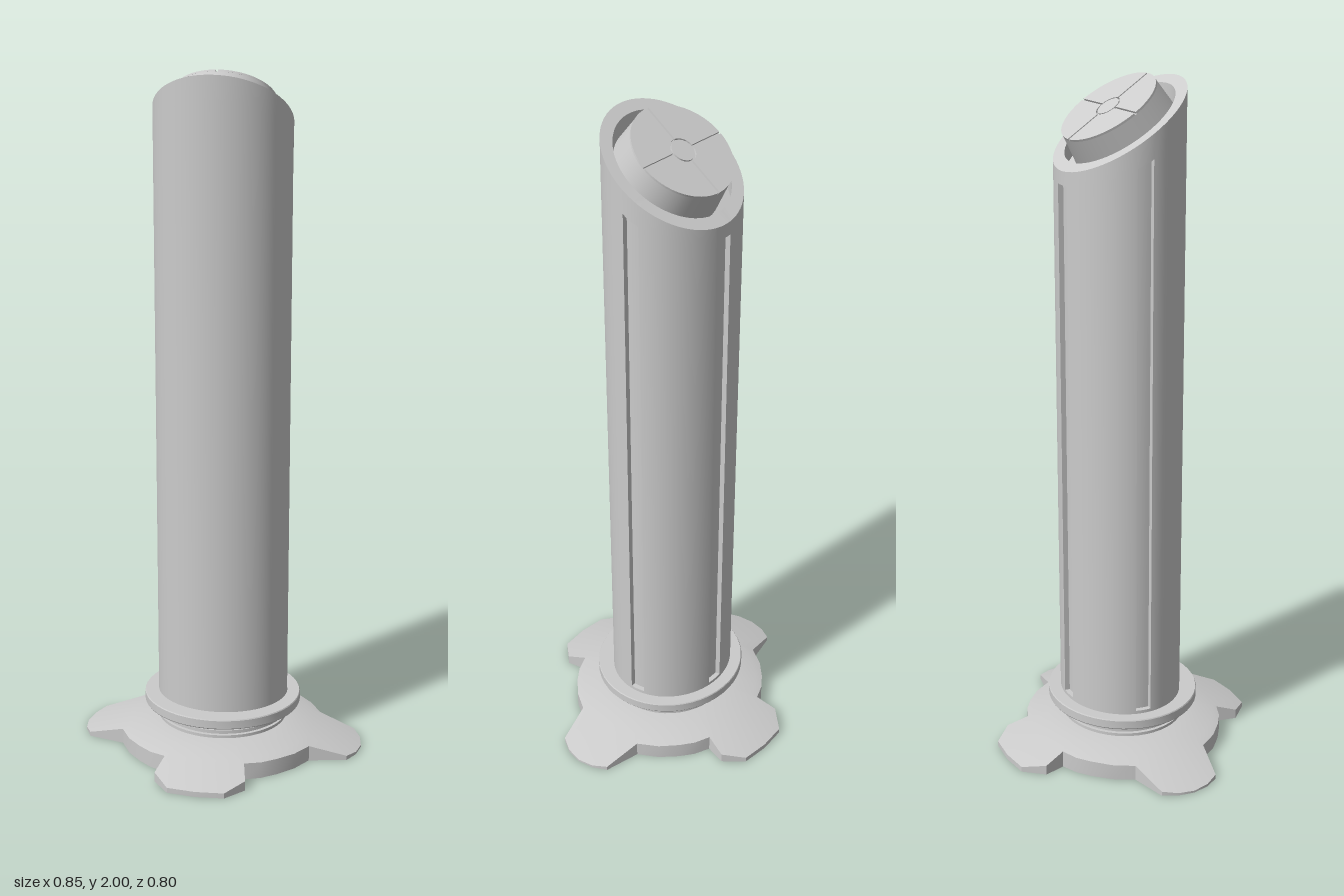
import * as THREE from 'three';
import { toCreasedNormals } from 'three/addons/utils/BufferGeometryUtils.js';

const material = new THREE.MeshStandardMaterial({ color: 0xcccccc });

function addMesh(parent, name, geometry) {
  const mesh = new THREE.Mesh(geometry, material);
  mesh.name = name;
  parent.add(mesh);
  return mesh;
}

// Skin a stack of closed rings (arrays of Vector3, counterclockwise from above)
function loft(rings, crease) {
  const positions = [];
  const triangle = new THREE.Triangle();
  const add = (a, b, c) => {
    if (triangle.set(a, b, c).getArea() > 1e-9) {
      for (const p of [a, b, c]) positions.push(p.x, p.y, p.z);
    }
  };
  for (let i = 0; i < rings.length - 1; i++) {
    const low = rings[i], high = rings[i + 1], n = low.length;
    for (let j = 0; j < n; j++) {
      const k = (j + 1) % n;
      add(low[j], low[k], high[k]);
      add(low[j], high[k], high[j]);
    }
  }
  const geometry = new THREE.BufferGeometry();
  geometry.setAttribute('position', new THREE.Float32BufferAttribute(positions, 3));
  return toCreasedNormals(geometry, crease);
}

// Sloping plane across the top of the column
const SLOPE = 0.657;
const topPlane = (z) => 1.88 + SLOPE * z;

// Oval column with three long grooves, a slanted rim and a recess
function columnGeometry() {
  const rx = 0.197, rz = 0.178, zc = -0.0105, depth = 0.015;
  const grooves = [[1.6, 16.4], [82.5, 97.5], [163.6, 178.4]];
  const columns = [];
  for (let a = 0; a < 360; a += 5) {
    if (!grooves.some(([s, e]) => a >= s && a <= e)) columns.push({ a, inset: 0 });
  }
  for (const [s, e] of grooves) {
    columns.push({ a: s, inset: 0 }, { a: s, inset: depth });
    for (let i = 1; i < 4; i++) columns.push({ a: s + (e - s) * i / 4, inset: depth });
    columns.push({ a: e, inset: depth }, { a: e + 1e-4, inset: 0 });
  }
  // Walls of each groove keep their order: outer, inner ... inner, outer
  columns.forEach((c, i) => { c.order = i; });
  columns.sort((p, q) => p.a - q.a || p.order - q.order);

  const ring = (height, shrinkX, shrinkZ, grooved) => columns.map(({ a, inset }) => {
    const t = THREE.MathUtils.degToRad(a);
    const d = grooved ? inset : 0;
    const x = (rx - shrinkX - d) * Math.cos(t);
    const z = zc - (rz - shrinkZ - d) * Math.sin(t);
    // Groove ends follow the un-inset wall so their ledges stay level
    return new THREE.Vector3(x, height(zc - rz * Math.sin(t), z), z);
  });
  const grooveTop = (wallZ) => topPlane(wallZ) - 0.067 - 0.18 * Math.min(0, wallZ + 0.03);
  const rim = (wallZ, z) => topPlane(z);
  const floor = (wallZ, z) => topPlane(z) - 0.06;
  return loft([
    ring(() => 0.12, 0, 0, false),
    ring(() => 0.165, 0, 0, false),
    ring(() => 0.165, 0, 0, true),
    ring(grooveTop, 0, 0, true),
    ring(grooveTop, 0, 0, false),
    ring(rim, 0, 0, false),
    ring(rim, 0.034, 0.031, false),
    ring(floor, 0.034, 0.031, false),
    ring(floor, rx, rz, false),
  ], 0.5);
}

// Four-footed base: a quarter outline mirrored around, doming up to the neck
function baseGeometry() {
  const quarter = [
    [0.427, 0], [0.418, 0.05], [0.395, 0.092], [0.285, 0.117], [0.25, 0.175], [0.205, 0.22],
    [0.165, 0.25], [0.118, 0.27], [0.133, 0.333], [0.083, 0.39], [0, 0.398],
  ];
  const half = [...quarter, ...quarter.slice(0, -1).reverse().map(([x, z]) => [-x, z])];
  const outline = [...half, ...half.slice(1, -1).reverse().map(([x, z]) => [x, -z])];
  const domeHeight = (r) => (r < 0.28
    ? THREE.MathUtils.mapLinear(Math.max(r, 0.19), 0.19, 0.28, 0.075, 0.056)
    : THREE.MathUtils.mapLinear(r, 0.28, 0.427, 0.056, 0.006));
  const ring = (limit, flat) => outline.map(([x, z]) => {
    const r = Math.hypot(x, z);
    const s = Math.min(r, limit) / r;
    return new THREE.Vector3(x * s, flat ? 0 : domeHeight(r * s), -z * s);
  });
  return loft([
    ring(0, true), ring(1, true), ring(1), ring(0.28), ring(0.235), ring(0.19), ring(0),
  ], 0.5);
}

// Tilted plug with a cross of fine slots and a round button
function createPlug() {
  const plug = new THREE.Group();
  plug.name = 'topPlug';
  const core = new THREE.CylinderGeometry(0.146, 0.158, 0.112, 48);
  addMesh(plug, 'plugCore', core).position.y = -0.004;

  const outer = 0.146, inner = 0.037, gap = 0.003;
  const sector = new THREE.Shape();
  const o = Math.asin(gap / outer), i = Math.asin(gap / inner);
  sector.absarc(0, 0, outer, o, Math.PI / 2 - o, false);
  sector.absarc(0, 0, inner, Math.PI / 2 - i, i, true);
  const plate = new THREE.ExtrudeGeometry(sector, { depth: 0.006, bevelEnabled: false, curveSegments: 14 });
  plate.rotateX(-Math.PI / 2);
  for (let q = 0; q < 4; q++) {
    const mesh = addMesh(plug, 'plugSector', toCreasedNormals(plate, 0.5));
    mesh.position.y = 0.052;
    mesh.rotation.y = q * Math.PI / 2;
  }
  addMesh(plug, 'plugButton', new THREE.CylinderGeometry(0.033, 0.033, 0.006, 24)).position.y = 0.055;

  plug.position.set(0, topPlane(-0.0135), -0.0135);
  plug.rotation.x = -Math.atan(SLOPE);
  return plug;
}

export function createModel() {
  const model = new THREE.Group();
  model.name = 'column';
  addMesh(model, 'base', baseGeometry());

  // Ribbed neck and the flange above it, slightly oval
  const neck = [[0.183, 0.06]];
  for (const y of [0.078, 0.094, 0.110]) {
    neck.push([0.183, y], [0.194, y], [0.194, y + 0.009], [0.183, y + 0.009]);
  }
  neck.push([0.183, 0.125], [0.234, 0.125], [0.236, 0.128], [0.236, 0.152], [0.234, 0.155], [0.17, 0.155]);
  const lathe = new THREE.LatheGeometry(neck.map(([r, y]) => new THREE.Vector2(r, y)), 48);
  const collar = addMesh(model, 'neckAndFlange', toCreasedNormals(lathe, 0.5));
  collar.scale.z = 0.95;
  collar.position.z = -0.002;

  addMesh(model, 'columnBody', columnGeometry());
  model.add(createPlug());
  return model;
}
